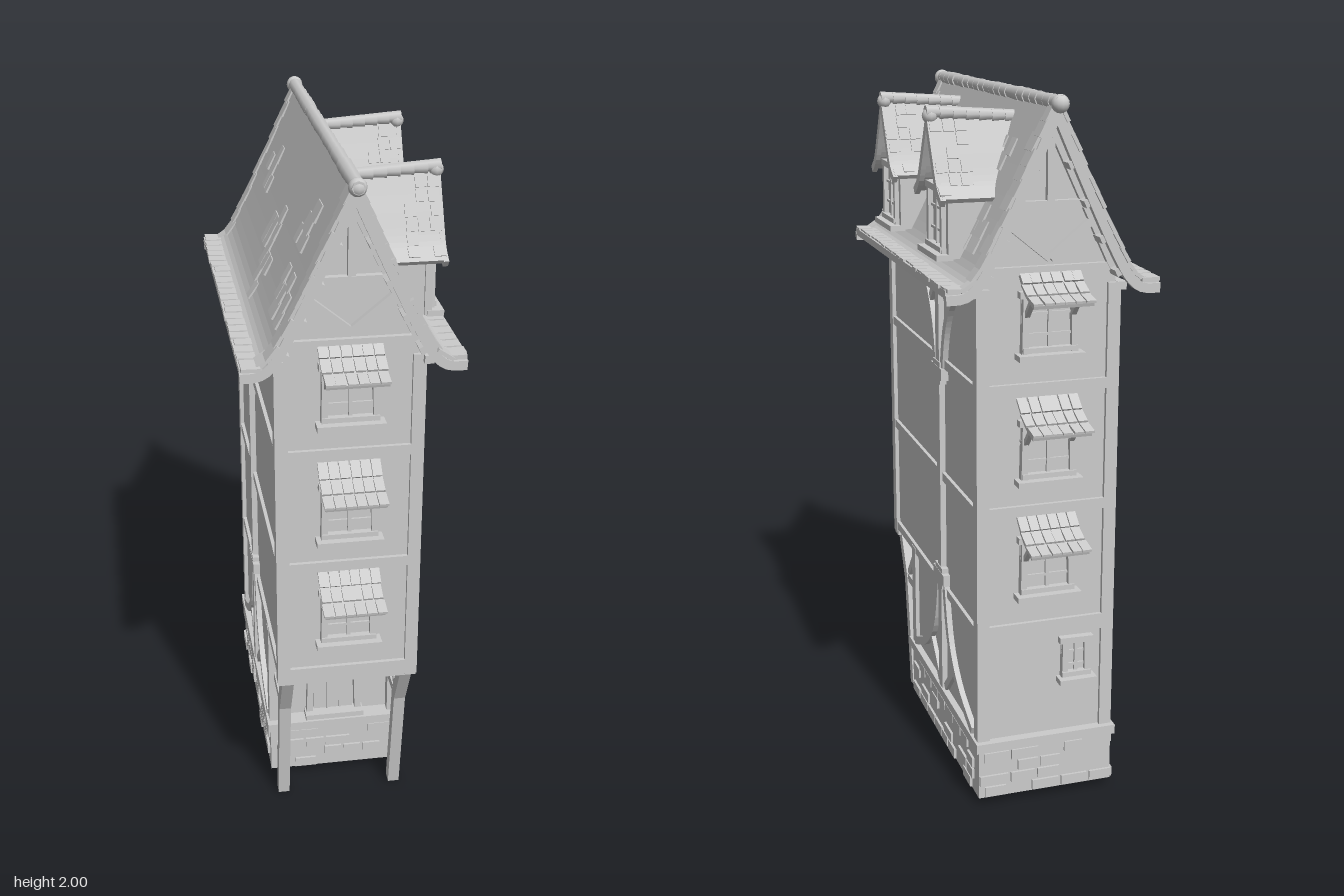
import * as THREE from 'three';

const grey = new THREE.MeshStandardMaterial({ color: 0xcccccc });
grey.name = 'plain grey';

let seed = 7;
const rnd = (a = 0, b = 1) => {
  seed = (seed * 16807) % 2147483647;
  return a + (b - a) * (seed / 2147483647);
};

function add(parent, name, geo, x = 0, y = 0, z = 0, rz = 0) {
  const m = new THREE.Mesh(geo, grey);
  m.name = name;
  m.position.set(x, y, z);
  m.rotation.z = rz;
  parent.add(m);
  return m;
}
const box = (p, name, w, h, d, x, y, z, rz = 0) => add(p, name, new THREE.BoxGeometry(w, h, d), x, y, z, rz);

// straight timber between two points of a local xy plane
function bar(p, name, a, b, w, d, z) {
  const dx = b[0] - a[0], dy = b[1] - a[1];
  return box(p, name, Math.hypot(dx, dy), w, d, (a[0] + b[0]) / 2, (a[1] + b[1]) / 2, z, Math.atan2(dy, dx));
}

const spline = (pts) => new THREE.SplineCurve(pts.map((q) => new THREE.Vector2(...q)));

// curved band of width w following a spline, extruded by d and centred on z
function ribbon(p, name, pts, w, d, z) {
  const c = spline(pts), near = [], far = [];
  for (let i = 0; i <= 14; i++) {
    const q = c.getPoint(i / 14), t = c.getTangent(i / 14);
    near.push(new THREE.Vector2(q.x - t.y * w / 2, q.y + t.x * w / 2));
    far.unshift(new THREE.Vector2(q.x + t.y * w / 2, q.y - t.x * w / 2));
  }
  const geo = new THREE.ExtrudeGeometry(new THREE.Shape([...near, ...far]), { depth: d, bevelEnabled: false });
  geo.translate(0, 0, -d / 2);
  return add(p, name, geo, 0, 0, z);
}

// group turned about y, so its local z points out of a wall
function face(parent, name, rotY, x = 0, y = 0, z = 0) {
  const g = new THREE.Group();
  g.name = name;
  g.rotation.y = rotY;
  g.position.set(x, y, z);
  parent.add(g);
  return g;
}

// casement with frame, glazing bars and sill; origin at the sill centre
function casement(p, x, y, z, w, h, sillW) {
  const g = face(p, 'window', 0, x, y, z);
  box(g, 'pane', w, h, 0.006, 0, h / 2, 0.003);
  for (const s of [-1, 1]) box(g, 'jamb', 0.018, h, 0.024, s * (w / 2 - 0.009), h / 2, 0.008, s * 0.02);
  box(g, 'lintel', w + 0.015, 0.018, 0.026, 0, h, 0.008, -0.02);
  box(g, 'mullion', 0.01, h, 0.016, 0, h / 2, 0.006);
  for (const f of [0.36, 0.7]) box(g, 'glazingBar', w, 0.007, 0.014, 0, h * f, 0.005);
  box(g, 'sill', sillW, 0.016, 0.046, 0, 0, 0.018);
  box(g, 'sillRail', w, 0.014, 0.03, 0, 0.018, 0.01);
  return g;
}

// tiled canopy on struts above a window
function awning(p, y) {
  const g = face(p, 'awning', -Math.PI / 2, 0, y, 0);
  const pts = [[0, 0.065], [0.05, 0.024], [0.122, 0]], c = spline(pts);
  ribbon(g, 'canopy', pts, 0.01, 0.165, 0);
  for (const s of [-1, 1]) bar(g, 'strut', [0, -0.06], [0.065, 0.01], 0.012, 0.014, s * 0.065);
  for (let r = 0; r < 3; r++) for (let i = 0; i < 6; i++) {
    const t = (r + 0.5) / 3, q = c.getPoint(t), k = c.getTangent(t);
    box(g, 'canopyTile', 0.05, 0.007, 0.026, q.x + 0.004, q.y + 0.008, (i - 2.5) * 0.029 + rnd(-0.002, 0.002),
      Math.atan2(k.y, k.x) + 0.08);
  }
}

// raised stones scattered over a wall of the plinth
function stones(p, name, rotY, x, z, width) {
  const g = face(p, name, rotY, x, 0, z);
  for (let r = 0; r < 4; r++) for (let u = -width / 2 + rnd(0, 0.03); u < width / 2 - 0.06;) {
    const w = rnd(0.05, 0.085);
    if (rnd() < 0.6 && u + w < width / 2) box(g, 'stone', w, 0.03, 0.014, u + w / 2, 0.041 + r * 0.036, 0);
    u += w + 0.008;
  }
}

// one roof slope on the +x side
const slope = [[0, 1.965], [0.1, 1.745], [0.17, 1.6], [0.208, 1.535], [0.245, 1.505], [0.295, 1.502]];
function roofHalf(parent, rotY) {
  const g = face(parent, 'roofSlope', rotY, 0, 0, 0.008), c = spline(slope);
  const tile = (t, z, w) => {
    const q = c.getPointAt(t), k = c.getTangentAt(t);
    box(g, 'shingle', 0.05, 0.01, w, q.x - k.y * 0.011, q.y + k.x * 0.011, z, Math.atan2(k.y, k.x) + 0.05);
  };
  ribbon(g, 'roofDeck', slope, 0.022, 1.05, 0);
  // ragged verges and eave
  for (let r = 0; r < 14; r++) for (const s of [-1, 1]) {
    const w = rnd(0.03, 0.06);
    tile((r + 0.5) / 14.2, s * (rnd(0.528, 0.546) - w / 2), w);
  }
  for (let i = 0; i < 22; i++) tile(0.952 + rnd(-0.008, 0.012), -0.5 + i * 0.0476, 0.04);
  // loose patches of shingles
  for (const [t0, z0] of [[0.3, -0.3], [0.5, 0.02], [0.35, 0.35], [0.72, -0.05], [0.62, -0.38]])
    for (let i = 0; i < 9; i++)
      if (rnd() < 0.75) tile(t0 + (Math.floor(i / 3) - 1) * 0.075, z0 + (i % 3 - 1) * 0.045 + rnd(-0.02, 0.02), 0.038);
  // carved verge boards and purlin ends
  for (const s of [-1, 1]) {
    ribbon(g, 'vergeBoard', slope.map(([x, y]) => [x, y - 0.014]), 0.026, 0.02, s * 0.525);
    for (const [x, y] of [[0.045, 1.82], [0.09, 1.72], [0.135, 1.625], [0.18, 1.535]])
      box(g, 'purlinEnd', 0.02, 0.02, 0.08, x, y, s * 0.49, -1.13);
  }
  box(g, 'eaveBeam', 0.025, 0.022, 0.98, 0.205, 1.49, 0);
}

// dormer on the +x slope; local z is world x
function dormer(parent, zc) {
  const g = face(parent, 'dormer', Math.PI / 2, 0, 0, zc);
  const wall = new THREE.Shape([[-0.09, 1.56], [0.09, 1.56], [0.09, 1.75], [0, 1.9], [-0.09, 1.75]].map((q) => new THREE.Vector2(...q)));
  const geo = new THREE.ExtrudeGeometry(wall, { depth: 0.13, bevelEnabled: false });
  add(g, 'dormerWall', geo, 0, 0, 0.1);
  casement(g, 0, 1.565, 0.23, 0.15, 0.175, 0.2);
  for (const s of [-1, 1]) {
    const pts = [[0, 1.92], [0.045, 1.835], [0.09, 1.755], [0.135, 1.72]].map(([x, y]) => [s * x, y]);
    const c = spline(pts);
    ribbon(g, 'dormerRoof', pts, 0.014, 0.235, 0.145);
    ribbon(g, 'dormerVerge', pts.map(([x, y]) => [x, y - 0.006]), 0.022, 0.014, 0.262);
    box(g, 'dormerPost', 0.02, 0.19, 0.02, s * 0.088, 1.655, 0.228);
    for (let r = 0; r < 6; r++) for (let i = 0; i < 3; i++) {
      if (rnd() < 0.4) continue;
      const t = (r + 0.6) / 6.4, q = c.getPointAt(t), k = c.getTangentAt(t);
      box(g, 'dormerShingle', 0.034, 0.007, 0.03, q.x - s * k.y * 0.007, q.y + s * k.x * 0.007,
        0.252 - i * 0.034 - rnd(0, 0.006), Math.atan2(k.y, k.x));
    }
  }
  // ridge tiles and finial
  for (let i = 0; i < 7; i++) {
    const m = add(g, 'dormerRidgeTile', new THREE.CylinderGeometry(0.016, 0.019, 0.038, 8), 0, 1.922 + i * 0.0025, 0.035 + i * 0.036);
    m.rotation.x = -Math.PI / 2;
  }
  add(g, 'dormerFinial', new THREE.SphereGeometry(0.021, 10, 8), 0, 1.928, 0.258);
}

export function createModel() {
  const house = new THREE.Group();
  house.name = 'townHouse';

  // plinth: hollow ring with coping and stones
  for (const s of [-1, 1]) {
    box(house, 'plinthSide', 0.06, 0.15, 0.74, s * 0.17, 0.097, -0.115);
    box(house, 'plinthEnd', 0.4, 0.15, 0.06, 0, 0.097, -0.115 + s * 0.34);
    stones(house, 'sideStones', s * Math.PI / 2, s * 0.2, -0.115, 0.74);
    stones(house, 'endStones', s > 0 ? 0 : Math.PI, 0, -0.115 + s * 0.37, 0.4);
  }
  box(house, 'coping', 0.418, 0.028, 0.765, 0, 0.184, -0.115);

  // walls
  box(house, 'groundFloor', 0.38, 0.33, 0.685, 0, 0.355, -0.1275);
  const section = new THREE.Shape([[-0.19, 0.5], [0.19, 0.5], [0.19, 1.54], [0, 1.945], [-0.19, 1.54]].map((q) => new THREE.Vector2(...q)));
  add(house, 'upperFloors', new THREE.ExtrudeGeometry(section, { depth: 0.94, bevelEnabled: false }), 0, 0, -0.47);

  // floor beams and corner posts
  for (const y of [0.525, 0.88, 1.225]) {
    for (const s of [-1, 1]) {
      box(house, 'sideBeam', 0.02, 0.026, 0.95, s * 0.19, y, 0);
      box(house, 'endBeam', 0.4, y < 0.6 ? 0.045 : 0.03, 0.02, 0, y, s * 0.471);
    }
  }
  for (const sx of [-1, 1]) {
    for (const sz of [-1, 1]) box(house, 'cornerPost', 0.036, 1.0, 0.036, sx * 0.184, 1.0, sz * 0.463);
    box(house, 'rearPost', 0.036, 0.33, 0.036, sx * 0.184, 0.355, -0.463);
    box(house, 'porchWallPost', 0.036, 0.34, 0.04, sx * 0.184, 0.36, 0.225);
  }

  // side timber: central post with curved braces
  for (const s of [-1, 1]) {
    const g = face(house, 'sideTimber', s * Math.PI / 2, s * 0.194, 0, -0.11);
    box(g, 'mainPost', 0.036, 1.29, 0.026, 0, 0.845, 0);
    for (const y of [1.195, 0.565]) {
      box(g, 'postBlock', 0.11, 0.035, 0.034, 0, y, 0);
      box(g, 'postCollar', 0.075, 0.065, 0.032, 0, y, 0);
    }
    for (const k of [-1, 1]) {
      const flip = (pts) => pts.map(([x, y]) => [k * x, y]);
      ribbon(g, 'lowerBrace', flip([[0.035, 0.55], [0.085, 0.38], [0.18, 0.275], [0.32, 0.21]]), 0.026, 0.024, 0);
      ribbon(g, 'upperBrace', flip([[0.035, 1.21], [0.065, 1.32], [0.12, 1.41], [0.2, 1.485]]), 0.026, 0.024, 0);
      bar(g, 'lowerStrut', ...flip([[0.03, 0.21], [0.13, 0.31]]), 0.022, 0.018, 0);
      bar(g, 'upperStrut', ...flip([[0.02, 1.475], [0.1, 1.385]]), 0.022, 0.018, 0);
    }
  }

  // gable ends: windows, canopies and roof truss
  for (const rot of [0, Math.PI]) {
    const g = face(house, 'gableEnd', rot, 0, 0, rot ? -0.472 : 0.472);
    for (const y of [0.63, 0.965, 1.315]) {
      casement(g, 0, y, 0, 0.155, 0.165, 0.185);
      awning(g, y + 0.155);
    }
    box(g, 'tieBeam', 0.2, 0.022, 0.024, 0, 1.715, 0.004);
    box(g, 'wallPlate', 0.37, 0.022, 0.02, 0, 1.545, 0.002);
    for (const s of [-1, 1]) {
      bar(g, 'trussBrace', [0, 1.575], [s * 0.11, 1.665], 0.022, 0.02, 0.004);
      bar(g, 'trussRafter', [s * 0.18, 1.54], [0, 1.92], 0.024, 0.02, 0.004);
    }
    box(g, 'kingPost', 0.02, 0.17, 0.02, 0, 1.8, 0.004);
  }

  // small rear window
  const rear = face(house, 'rearWall', Math.PI, 0, 0, -0.47);
  casement(rear, 0.09, 0.36, 0, 0.085, 0.12, 0.11);

  // front door
  const door = face(house, 'frontDoor', 0, 0, 0, 0.215);
  box(door, 'doorLeaf', 0.12, 0.23, 0.012, 0, 0.31, 0.004);
  for (const s of [-1, 1]) box(door, 'doorJamb', 0.02, 0.245, 0.03, s * 0.072, 0.318, 0.008, s * 0.03);
  box(door, 'doorLintel', 0.18, 0.022, 0.034, 0, 0.442, 0.008, 0.04);
  for (const x of [-0.02, 0.02]) box(door, 'doorPlankJoint', 0.005, 0.22, 0.008, x, 0.31, 0.01);
  box(door, 'doorStep', 0.18, 0.02, 0.05, 0, 0.205, 0.02);

  // bent porch posts carrying the overhang
  for (const s of [-1, 1]) {
    const g = face(house, 'porchPost', -Math.PI / 2, s * 0.172, 0, 0);
    bar(g, 'lowerPost', [0.325, 0], [0.385, 0.375], 0.034, 0.034, 0);
    bar(g, 'upperPost', [0.382, 0.36], [0.46, 0.51], 0.036, 0.034, 0);
    bar(g, 'porchRail', [0.23, 0.365], [0.39, 0.365], 0.026, 0.028, 0);
    bar(g, 'porchStrut', [0.375, 0.375], [0.275, 0.49], 0.022, 0.024, 0);
  }
  box(house, 'overhangBeam', 0.4, 0.024, 0.04, 0, 0.503, 0.455);

  // roof, dormers and ridge
  roofHalf(house, 0);
  roofHalf(house, Math.PI);
  dormer(house, 0.265);
  dormer(house, -0.25);
  for (let i = 0; i < 22; i++) {
    const r = rnd(0.017, 0.02);
    const m = add(house, 'ridgeTile', new THREE.CylinderGeometry(r, r + 0.002, 0.054, 8), 0, 1.977, -0.53 + i * 0.0512);
    m.rotation.x = Math.PI / 2;
  }
  for (const z of [-0.545, 0.553]) add(house, 'ridgeFinial', new THREE.SphereGeometry(0.024, 12, 8), 0, 1.975, z);
  return house;
}
